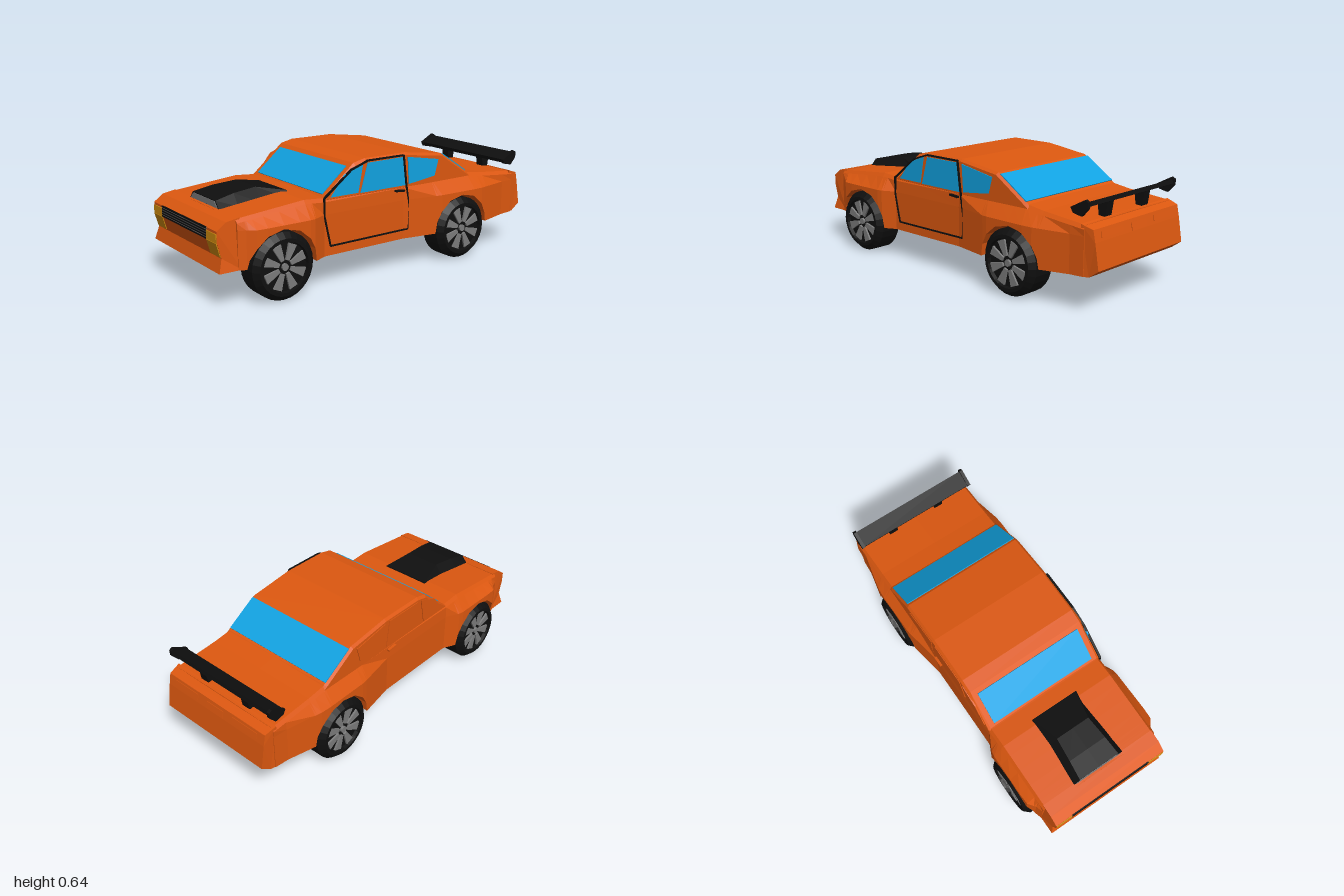
import * as THREE from 'three';

const paint = (name, color) => {
  const m = new THREE.MeshStandardMaterial({ color });
  m.name = name;
  return m;
};

// faceted normals for the low-poly look
const facet = (geo) => {
  const g = geo.index ? geo.toNonIndexed() : geo;
  g.computeVertexNormals();
  return g;
};

const mesh = (name, geo, mat) => {
  const m = new THREE.Mesh(facet(geo), mat);
  m.name = name;
  return m;
};

// piecewise linear lookup, keys sorted by falling z
const lookup = (keys, z) => {
  for (let i = 0; i < keys.length - 1; i++) {
    const [z0, v0] = keys[i], [z1, v1] = keys[i + 1];
    if (z >= z1) return v0 + (v1 - v0) * Math.min(1, Math.max(0, (z0 - z) / (z0 - z1)));
  }
  return keys[keys.length - 1][1];
};

// skin over mirrored half sections, ordered front to back, each from top centre to bottom centre
function loft(sections) {
  const rings = sections.map(({ z, pts }) => [
    ...pts.map(([x, y]) => [x, y, z]),
    ...pts.slice(1, -1).reverse().map(([x, y]) => [-x, y, z]),
  ]);
  const n = rings[0].length, index = [], last = (rings.length - 1) * n;
  for (let i = 0; i < rings.length - 1; i++) {
    for (let j = 0; j < n; j++) {
      const a = i * n + j, b = i * n + (j + 1) % n;
      index.push(a, b, b + n, a, b + n, a + n);
    }
  }
  for (let j = 1; j < n - 1; j++) index.push(0, j + 1, j, last, last + j, last + j + 1);
  const g = new THREE.BufferGeometry();
  g.setAttribute('position', new THREE.Float32BufferAttribute(rings.flat(2), 3));
  g.setIndex(index);
  return g;
}

// side outline given as [z, y], extruded across x about a centre
function sideways(outline, width, x = 0, bevel = 0) {
  const g = new THREE.ExtrudeGeometry(new THREE.Shape(outline.map((p) => new THREE.Vector2(...p))), {
    depth: width - 2 * bevel, bevelEnabled: bevel > 0, bevelSize: bevel,
    bevelThickness: bevel, bevelOffset: -bevel, bevelSegments: 1,
  });
  return g.rotateY(-Math.PI / 2).translate(x + width / 2 - bevel, 0, 0);
}

// flat bar of a given width in x, running from one [z, y] point to another
function bar(name, mat, width, x, [z0, y0], [z1, y1], thick) {
  const m = mesh(name, new THREE.BoxGeometry(width, thick, Math.hypot(z1 - z0, y1 - y0)), mat);
  m.position.set(x, (y0 + y1) / 2, (z0 + z1) / 2);
  m.rotation.x = Math.atan2(y0 - y1, z1 - z0);
  return m;
}

const WHEELS = [0.67, -0.49], AXLE = 0.173, ARCH = 0.19;

function bodyGeometry() {
  const top = [[0.9, 0.44], [0.52, 0.475], [0.41, 0.467], [-0.565, 0.475], [-0.67, 0.46], [-0.92, 0.438]];
  const wide = [[0.9, 0.36], [0.86, 0.372], [0.82, 0.402], [0.76, 0.405], [0.5, 0.403], [0.41, 0.36],
    [-0.1, 0.36], [-0.33, 0.402], [-0.62, 0.405], [-0.84, 0.36], [-0.92, 0.355]];
  const floor = [[0.9, 0.19], [0.48, 0.165], [-0.3, 0.17], [-0.68, 0.18], [-0.92, 0.19]];
  const arcs = WHEELS.flatMap((c) => [0.19, 0.18, 0.15, 0.09, 0, -0.09, -0.15, -0.18, -0.19].map((d) => c + d));
  const zs = [0.9, 0.41, 0.2, -0.1, -0.565, -0.84, -0.92, ...arcs].sort((a, b) => b - a);
  return loft(zs.map((z) => {
    const t = lookup(top, z), w = lookup(wide, z), f = lookup(floor, z);
    const rise = Math.max(...WHEELS.map((c) => AXLE + Math.sqrt(Math.max(0, ARCH ** 2 - (z - c) ** 2))));
    const inArch = WHEELS.some((c) => Math.abs(z - c) < ARCH - 0.001);
    const edge = inArch ? Math.max(f, rise) : f;
    return { z, pts: [[0, t], [0.343, t - 0.003], [0.357, t - 0.022], [w, 0.382], [w, edge], [0.23, edge], [0.23, f], [0, f]] };
  }));
}

export function createModel() {
  const orange = paint('orange paint', 0xdd5810);
  const black = paint('black trim', 0x0f0f0f);
  const blue = paint('blue glass', 0x11a3e2);
  const grey = paint('grey metal', 0x7c7c7c);
  const amber = paint('amber lamp', 0xd48f10);
  const car = new THREE.Group();
  car.name = 'car';
  const add = (...parts) => car.add(...parts);

  // main shell with wheel wells
  add(mesh('body', bodyGeometry(), orange));

  // nose and tail, each narrowed where the corners tuck in
  const nose = sideways([[0.88, 0.442], [0.95, 0.43], [1, 0.393], [1, 0.335], [0.98, 0.26], [1, 0.19], [0.88, 0.19]], 0.72);
  const tail = sideways([[-0.9, 0.44], [-0.965, 0.42], [-0.978, 0.36], [-1, 0.23], [-0.945, 0.19], [-0.9, 0.19]], 0.71);
  for (const g of [nose, tail]) {
    const p = g.attributes.position;
    for (let i = 0; i < p.count; i++) {
      const tuck = p.getZ(i) > 0 ? p.getY(i) > 0.25 : p.getZ(i) < -0.93;
      if (tuck) p.setX(i, Math.sign(p.getX(i)) * 0.346);
    }
  }
  add(mesh('nose', nose, orange), mesh('tail', tail, orange));

  // cabin and roof
  add(mesh('cabin', sideways([[0.42, 0.45], [0.22, 0.62], [0.15, 0.636], [-0.115, 0.636],
    [-0.37, 0.602], [-0.565, 0.476], [-0.6, 0.44]], 0.714, 0, 0.013), orange));
  add(bar('windshield', blue, 0.63, 0, [0.391, 0.475], [0.243, 0.601], 0.008));
  add(bar('rearWindow', blue, 0.69, 0, [-0.383, 0.594], [-0.555, 0.483], 0.008));

  // side windows: glazed on the left, painted panels on the right
  const panes = {
    ventWindow: [[0.37, 0.465], [0.285, 0.568], [0.17, 0.612], [0.2, 0.465]],
    doorWindow: [[0.185, 0.462], [0.14, 0.613], [-0.09, 0.615], [-0.11, 0.462]],
    quarterWindow: [[-0.125, 0.612], [-0.34, 0.575], [-0.315, 0.487], [-0.135, 0.465]],
  };
  for (const [name, outline] of Object.entries(panes)) {
    add(mesh(name, sideways(outline, 0.008, 0.357), blue));
    add(mesh(name + 'Panel', sideways(outline, 0.008, -0.357), orange));
  }

  // door seam and handles
  const seam = [[0.41, 0.465], [0.41, 0.37], [0.375, 0.215], [-0.13, 0.22], [-0.137, 0.33], [-0.115, 0.47],
    [-0.095, 0.625], [0.14, 0.625], [0.245, 0.59]];
  seam.forEach((p, i) => add(bar('doorSeam', black, 0.012, 0.36, p, seam[(i + 1) % seam.length], 0.008)));
  add(bar('leftHandle', black, 0.02, 0.362, [-0.04, 0.44], [-0.1, 0.435], 0.01));
  add(bar('rightHandle', orange, 0.02, -0.362, [-0.04, 0.44], [-0.1, 0.435], 0.01));

  // grille with slats
  add(bar('grille', grey, 0.49, 0, [1, 0.394], [1, 0.335], 0.006));
  for (let i = 0; i < 5; i++) {
    const y = 0.34 + i * 0.0125;
    add(bar('grilleSlat', black, 0.49, 0, [0.994, y], [1.004, y], 0.009));
  }
  // headlights folded over the nose crease, and rear panels
  for (const s of [-1, 1]) {
    add(bar('headlightUpper', amber, 0.098, s * 0.294, [1, 0.38], [1, 0.335], 0.008));
    add(bar('headlightLower', amber, 0.098, s * 0.294, [1, 0.335], [0.981, 0.265], 0.008));
    add(bar('tailLight', orange, 0.17, s * 0.21, [-0.967, 0.405], [-0.974, 0.375], 0.008));
  }
  add(bar('rearPlate', orange, 0.12, 0, [-0.968, 0.402], [-0.977, 0.365], 0.008));

  // hood scoop and its intake
  const scoop = [[0.885, 0.122, 0.477], [0.78, 0.112, 0.498], [0.65, 0.1, 0.51], [0.49, 0.14, 0.478]];
  add(mesh('hoodScoop', loft(scoop.map(([z, w, y]) => ({ z, pts: [[0, y], [w, y], [0.155, 0.44], [0, 0.44]] }))), black));
  const intake = new THREE.Shape([[-0.142, 0.443], [0.142, 0.443], [0.113, 0.473], [-0.113, 0.473]]
    .map((p) => new THREE.Vector2(...p)));
  add(mesh('scoopIntake', new THREE.ExtrudeGeometry(intake, { depth: 0.006, bevelEnabled: false }).translate(0, 0, 0.882), grey));

  // rear wing
  add(bar('wingBlade', black, 0.7, 0, [-0.85, 0.5], [-0.935, 0.535], 0.022));
  for (const s of [-1, 1]) {
    add(mesh('wingEndPlate', sideways([[-0.84, 0.51], [-0.925, 0.556], [-0.942, 0.545], [-0.94, 0.515], [-0.905, 0.475], [-0.855, 0.485]],
      0.018, s * 0.351), black));
    add(mesh('wingSupport', sideways([[-0.855, 0.5], [-0.915, 0.525], [-0.9, 0.435], [-0.865, 0.435]], 0.05, s * 0.15), black));
  }

  // wheels: tyre with recessed face, wedge spokes and hub, axis turned along x
  const tyre = [[0, 0], [0.145, 0], [0.173, 0.03], [0.173, 0.14], [0.145, 0.17], [0.128, 0.17], [0.124, 0.15], [0, 0.15]]
    .map((p) => new THREE.Vector2(...p));
  const spoke = new THREE.Shape([[-0.01, 0.035], [0.01, 0.035], [0.024, 0.118], [-0.024, 0.118]]
    .map((p) => new THREE.Vector2(...p)));
  for (const z of WHEELS) {
    for (const s of [-1, 1]) {
      const wheel = new THREE.Group();
      wheel.name = (z > 0 ? 'front' : 'rear') + (s > 0 ? 'LeftWheel' : 'RightWheel');
      const tyreMesh = mesh('tyre', new THREE.LatheGeometry(tyre, 28), black);
      tyreMesh.rotation.z = -Math.PI / 2;
      wheel.add(tyreMesh);
      for (let i = 0; i < 8; i++) {
        const g = new THREE.ExtrudeGeometry(spoke, { depth: 0.012, bevelEnabled: false });
        g.rotateZ((i + 0.5) * Math.PI / 4).rotateY(Math.PI / 2).translate(0.149, 0, 0);
        wheel.add(mesh('spoke', g, grey));
      }
      const hub = new THREE.CylinderGeometry(0.018, 0.018, 0.014, 12).rotateZ(-Math.PI / 2).translate(0.156, 0, 0);
      wheel.add(mesh('hub', hub, grey));
      wheel.position.set(s * 0.245, AXLE, z);
      wheel.rotation.y = s > 0 ? 0 : Math.PI;
      add(wheel);
    }
  }
  return car;
}
